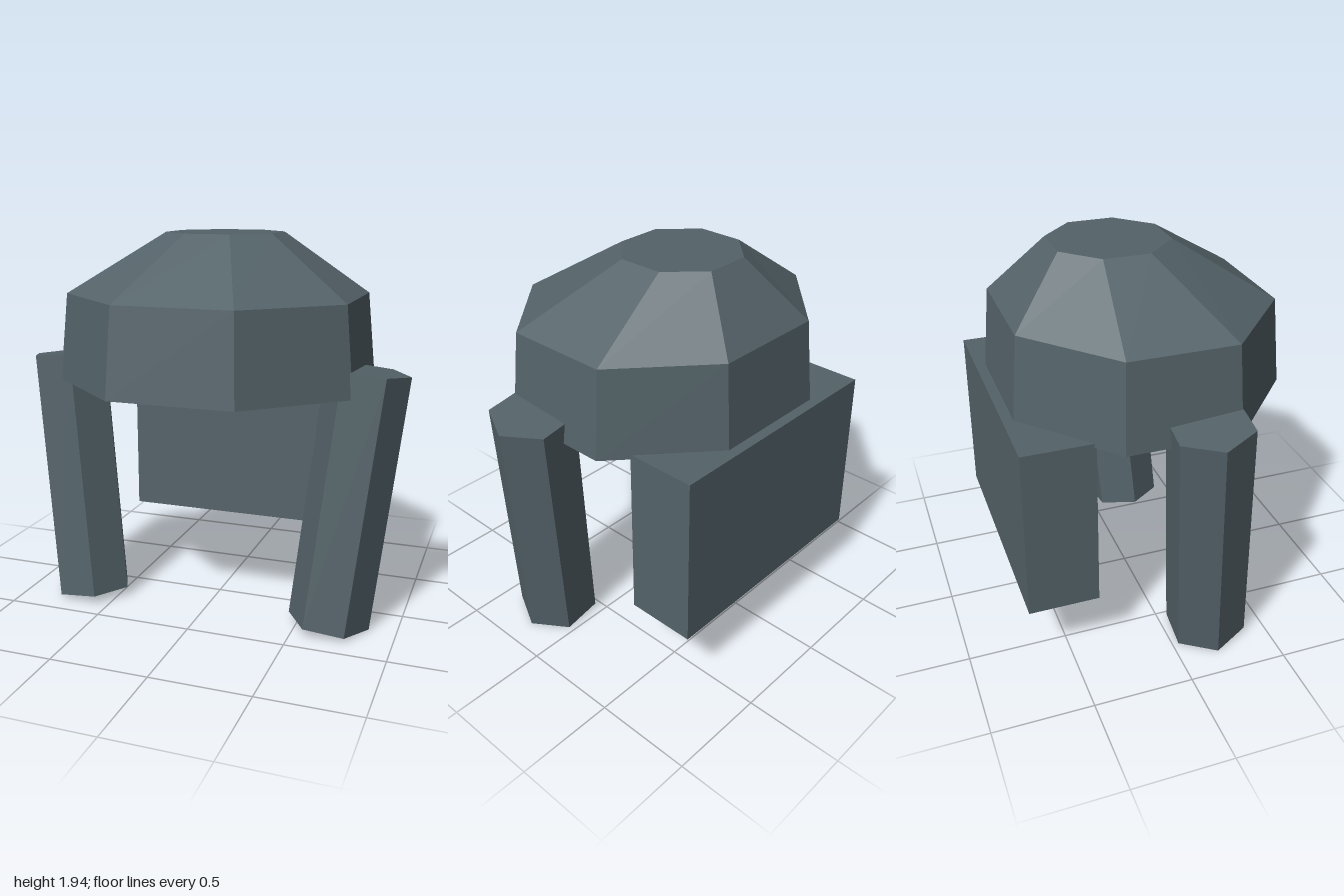
import * as THREE from 'three';

const material = new THREE.MeshStandardMaterial({ color: 0x546369, flatShading: true });

function addPart(group, name, geometry) {
  const mesh = new THREE.Mesh(geometry, material);
  mesh.name = name;
  group.add(mesh);
  return mesh;
}

// Eight-sided dome: each ring gives height, half width, half depth and centre z
function domeGeometry() {
  const rings = [
    { y: 1.2, x: 0.76, z: 0.685, cz: 0.025 },
    { y: 1.64, x: 0.718, z: 0.647, cz: 0.024 },
    { y: 1.94, x: 0.28, z: 0.28, cz: -0.083 },
  ];
  const geometry = new THREE.CylinderGeometry(1, 1, 2, 8, 2, false, Math.PI / 8);
  const position = geometry.attributes.position;
  const apothem = Math.cos(Math.PI / 8);
  for (let i = 0; i < position.count; i++) {
    const ring = rings[Math.round(position.getY(i)) + 1];
    position.setXYZ(
      i,
      (position.getX(i) / apothem) * ring.x,
      ring.y,
      (position.getZ(i) / apothem) * ring.z + ring.cz
    );
  }
  geometry.computeVertexNormals();
  return geometry;
}

export function createModel() {
  const model = new THREE.Group();
  model.name = 'model';

  addPart(model, 'dome', domeGeometry());

  // Block behind and below the dome
  const block = addPart(model, 'backBlock', new THREE.BoxGeometry(1.28, 0.89, 0.355));
  block.position.set(0, 0.775, -0.533);

  // Pair of hexagonal posts, leaning outward and back with a slight twist
  for (const side of [1, -1]) {
    const bottom = new THREE.Vector3(side * 0.657, 0.027, 0.216);
    const top = new THREE.Vector3(side * 0.797, 1.31, 0.127);
    const axis = top.clone().sub(bottom);
    const geometry = new THREE.CylinderGeometry(0.206, 0.206, axis.length(), 6);
    geometry.rotateY(Math.PI / 6 + side * 0.07);
    const post = addPart(model, side > 0 ? 'leftPost' : 'rightPost', geometry);
    post.quaternion.setFromUnitVectors(new THREE.Vector3(0, 1, 0), axis.normalize());
    post.position.copy(bottom).add(top).multiplyScalar(0.5);
  }

  return model;
}
